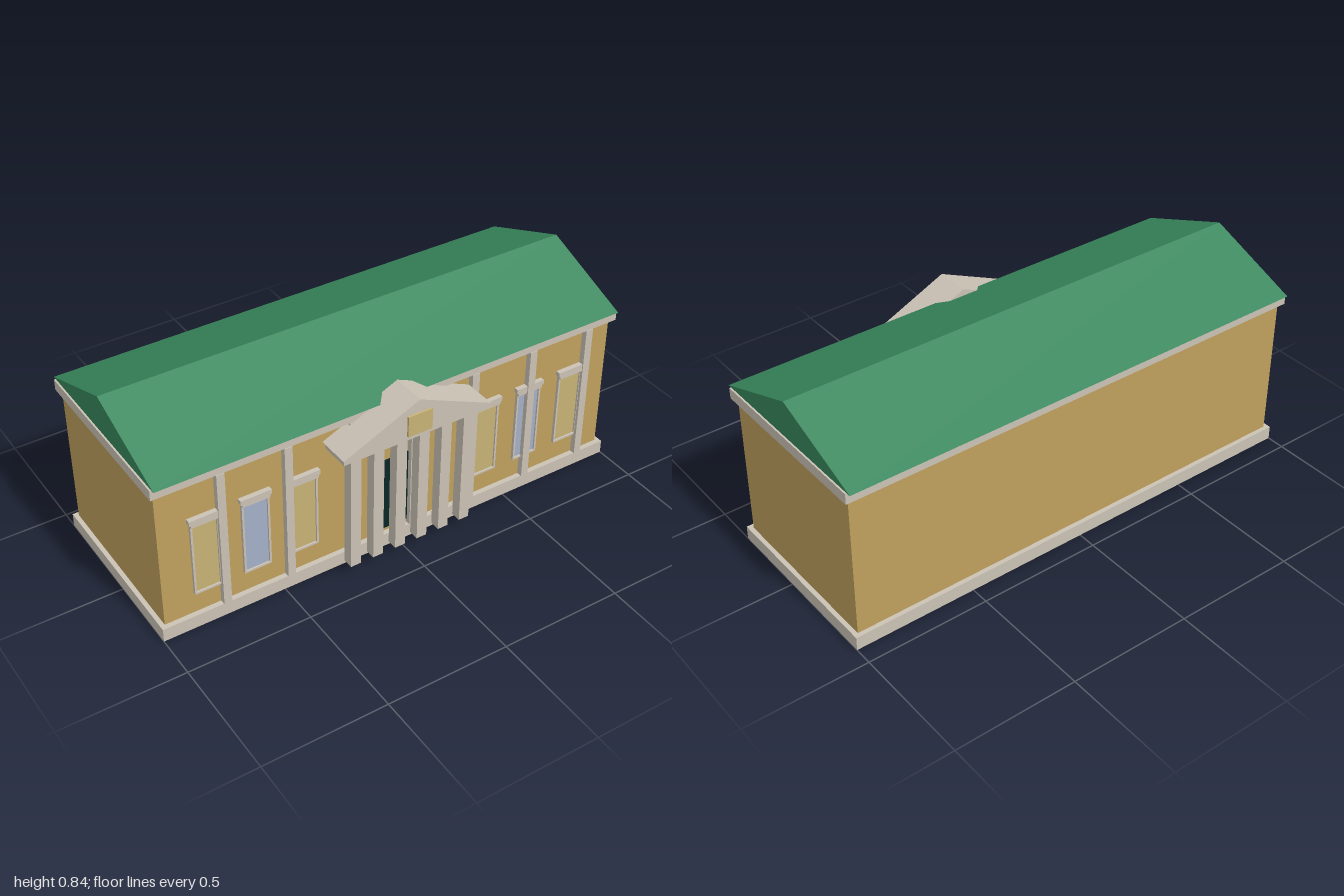
import * as THREE from 'three';

const mat = (name, color) => {
  const m = new THREE.MeshStandardMaterial({ color });
  m.name = name;
  return m;
};

export function createModel() {
  const group = new THREE.Group();
  const wall = mat('ochre wall', 0xbfa05e);
  const trim = mat('pale stone trim', 0xcbc2b5);
  const green = mat('green roof', 0x38875c);
  const amber = mat('amber pane', 0xc8b375);
  const blue = mat('blue pane', 0xa3b0c8);
  const dark = mat('dark door', 0x0a2626);

  const add = (name, geometry, material, parent = group) => {
    const mesh = new THREE.Mesh(geometry, material);
    mesh.name = name;
    parent.add(mesh);
    return mesh;
  };
  // Box given by its extents along each axis
  const box = (name, material, [x0, x1], [y0, y1], [z0, z1], parent) => {
    const g = new THREE.BoxGeometry(x1 - x0, y1 - y0, z1 - z0);
    g.translate((x0 + x1) / 2, (y0 + y1) / 2, (z0 + z1) / 2);
    return add(name, g, material, parent);
  };
  // Flat outline extruded along z from z0 to z1
  const prism = (points, z0, z1, hole) => {
    const shape = new THREE.Shape(points.map(([x, y]) => new THREE.Vector2(x, y)));
    if (hole) shape.holes.push(new THREE.Path(hole.map(([x, y]) => new THREE.Vector2(x, y))));
    const g = new THREE.ExtrudeGeometry(shape, { depth: z1 - z0, bevelEnabled: false });
    return g.translate(0, 0, z0);
  };
  const rect = (x0, x1, y0, y1) => [[x0, y0], [x1, y0], [x1, y1], [x0, y1]];

  // Main block
  box('plinth', trim, [-1, 1], [0, 0.056], [-0.426, 0.323]);
  box('walls', wall, [-0.982, 0.982], [0.056, 0.645], [-0.408, 0.302]);
  box('cornice', trim, [-1, 1], [0.645, 0.689], [-0.426, 0.323]);

  // Gabled roof, ridge running along x
  const roof = prism([[-0.34, 0.689], [0.443, 0.689], [0.053, 0.84]], -0.993, 0.993);
  add('roof', roof.rotateY(Math.PI / 2), green);

  // Evenly spaced wall pilasters
  for (let i = 0; i < 7; i++) {
    const x = -0.738 + i * 0.268;
    box('pilaster', trim, [x - 0.016, x + 0.016], [0.056, 0.645], [0.298, 0.326]);
  }

  // Windows: the middle one of each wing is blue
  for (const side of [-1, 1]) {
    [0.403, 0.602, 0.804].forEach((d, i) => {
      const x = side * d;
      const win = new THREE.Group();
      win.name = 'window';
      group.add(win);
      add('windowFrame', prism(rect(x - 0.056, x + 0.056, 0.146, 0.465), 0.3, 0.314,
        rect(x - 0.048, x + 0.048, 0.154, 0.457)), trim, win);
      box('windowPane', i === 1 ? blue : amber, [x - 0.048, x + 0.048], [0.154, 0.457], [0.3, 0.307], win);
      // Hood flaring outwards at the top
      add('windowHood', prism([[x - 0.056, 0.458], [x + 0.056, 0.458], [x + 0.056, 0.468], [x + 0.063, 0.472],
        [x + 0.063, 0.49], [x - 0.063, 0.49], [x - 0.063, 0.472], [x - 0.056, 0.468]], 0.3, 0.322), trim, win);
    });
  }

  // Entrance door
  box('door', dark, [-0.107, 0.107], [0.073, 0.396], [0.3, 0.307]);

  // Portico: six square columns, beam and pediment
  const portico = new THREE.Group();
  portico.name = 'portico';
  group.add(portico);
  for (let i = 0; i < 6; i++) {
    const x = (i - 2.5) * 0.098;
    box('column', trim, [x - 0.022, x + 0.022], [0.056, 0.558], [0.364, 0.407], portico);
  }
  box('beam', trim, [-0.305, 0.305], [0.557, 0.592], [0.3, 0.421], portico);
  add('pediment', prism([[-0.318, 0.592], [0.318, 0.592], [0, 0.734]], 0.297, 0.439), trim, portico);
  box('pedimentPanel', amber, [-0.052, 0.052], [0.593, 0.68], [0.438, 0.447], portico);

  return group;
}
